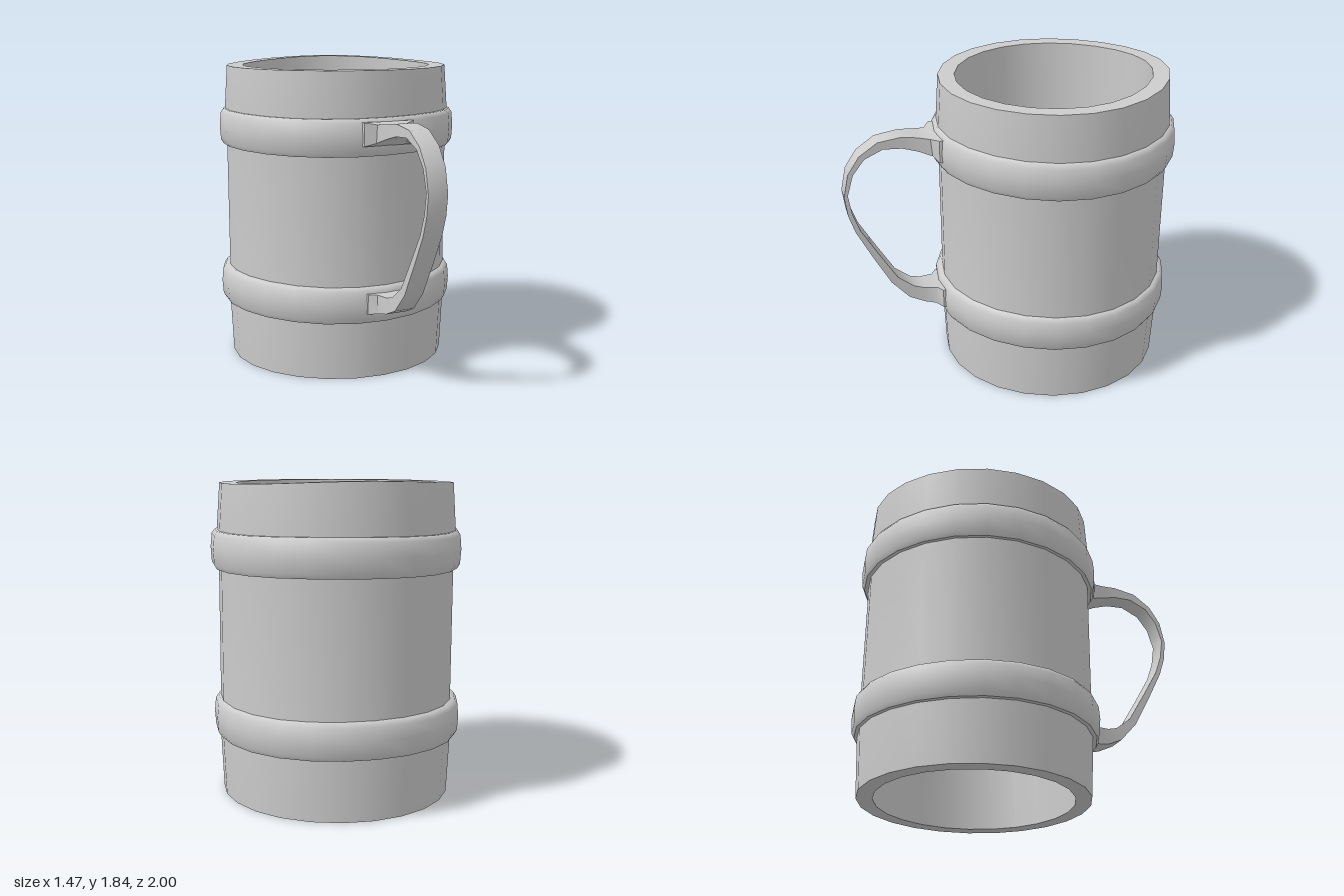
import * as THREE from 'three';
import { toCreasedNormals } from 'three/addons/utils/BufferGeometryUtils.js';

const material = new THREE.MeshStandardMaterial({ color: 0xcccccc });
const AXIS_Z = -0.27;
const SIDES = 24;

function addMesh(group, name, geometry, crease = 0.6) {
  const mesh = new THREE.Mesh(toCreasedNormals(geometry, crease), material);
  mesh.name = name;
  group.add(mesh);
  return mesh;
}

// Closed ring turned from a profile of [radius, y] that runs up the outside
function ring(profile, wobble) {
  const points = [...profile, profile[0]].map(([r, y]) => new THREE.Vector2(r, y));
  const geometry = new THREE.LatheGeometry(points, SIDES);
  const pos = geometry.attributes.position;
  for (let i = 0; i < pos.count; i++) {
    const angle = Math.atan2(pos.getX(i), pos.getZ(i));
    pos.setY(i, pos.getY(i) + wobble(angle, pos.getY(i)));
  }
  geometry.translate(0, 0, AXIS_Z);
  return geometry;
}

// Handle: rectangular sections between an outer and an inner curve,
// each row is [outer z, outer y, inner z, inner y, half width]
function handleGeometry() {
  const rows = [
    [0.41, 1.54, 0.41, 1.40, 0.16],
    [0.452, 1.54, 0.452, 1.405, 0.158],
    [0.49, 1.53, 0.48, 1.425, 0.095],
    [0.56, 1.54, 0.56, 1.455, 0.074],
    [0.65, 1.55, 0.65, 1.48, 0.064],
    [0.79, 1.53, 0.76, 1.485, 0.06],
    [0.90, 1.455, 0.87, 1.435, 0.06],
    [0.97, 1.35, 0.94, 1.345, 0.06],
    [1.00, 1.21, 0.978, 1.22, 0.06],
    [0.985, 1.09, 0.96, 1.10, 0.06],
    [0.95, 0.98, 0.92, 0.985, 0.06],
    [0.86, 0.80, 0.82, 0.81, 0.06],
    [0.755, 0.605, 0.715, 0.635, 0.06],
    [0.65, 0.487, 0.62, 0.56, 0.062],
    [0.56, 0.445, 0.56, 0.543, 0.07],
    [0.49, 0.43, 0.48, 0.54, 0.085],
    [0.452, 0.42, 0.452, 0.54, 0.13],
    [0.41, 0.42, 0.41, 0.54, 0.132],
  ];
  const positions = [];
  const index = [];
  rows.forEach(([zo, yo, zi, yi, w], i) => {
    const x = -0.005;
    positions.push(x - w, yo, zo, x + w, yo, zo, x + w, yi, zi, x - w, yi, zi);
    if (i === 0) return;
    for (let k = 0; k < 4; k++) {
      const a = (i - 1) * 4 + k, b = (i - 1) * 4 + (k + 1) % 4;
      index.push(a, a + 4, b, b, a + 4, b + 4);
    }
  });
  // End caps, hidden inside the bands
  const e = (rows.length - 1) * 4;
  index.push(0, 1, 2, 0, 2, 3, e, e + 2, e + 1, e, e + 3, e + 2);
  const geometry = new THREE.BufferGeometry();
  geometry.setAttribute('position', new THREE.Float32BufferAttribute(positions, 3));
  geometry.setIndex(index);
  return geometry;
}

export function createModel() {
  const group = new THREE.Group();
  group.name = 'tankard';

  // Open tube wall with a slightly raised rim at the back
  const wall = [
    [0.672, 0.01], [0.688, 0.36], [0.684, 0.6], [0.684, 1.32], [0.694, 1.55],
    [0.675, 1.825], [0.578, 1.825], [0.578, 0.01],
  ];
  addMesh(group, 'wall', ring(wall, (angle, y) =>
    y > 1.7 ? 0.025 * Math.max(0, Math.cos(angle - 2.8)) ** 3 : 0));

  // Two raised hoops with softened edges
  const hoops = [['lowerHoop', 0.365, 0.58, -0.008], ['upperHoop', 1.345, 1.565, 0.002]];
  for (const [name, y0, y1, x] of hoops) {
    const profile = [
      [0.66, y0], [0.708, y0], [0.723, y0 + 0.025], [0.729, (y0 + y1) / 2],
      [0.722, y1 - 0.03], [0.705, y1 - 0.005], [0.66, y1],
    ];
    const hoop = addMesh(group, name, ring(profile, (a) => 0.004 * Math.sin(3 * a + x * 90)), 0.9);
    hoop.position.x = x;
  }

  addMesh(group, 'handle', handleGeometry(), 0.7);
  return group;
}
